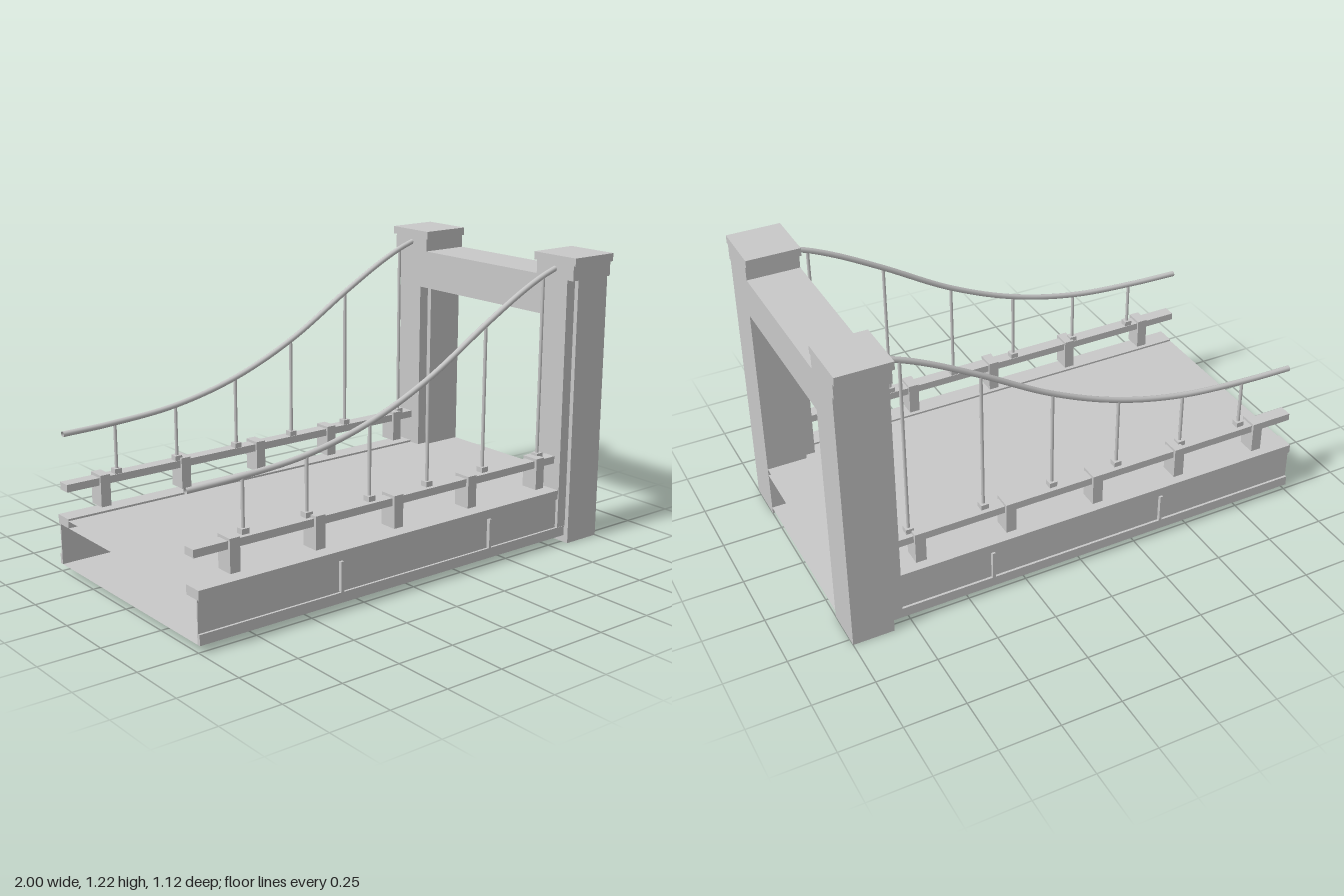
import * as THREE from 'three';

const stone = new THREE.MeshStandardMaterial({ color: 0xc8c8c8, side: THREE.DoubleSide });
stone.name = 'light grey';

function add(parent, name, geometry) {
  const mesh = new THREE.Mesh(geometry, stone);
  mesh.name = name;
  parent.add(mesh);
  return mesh;
}

// Box given by its extents on each axis
function box(parent, name, [x0, x1], [y0, y1], [z0, z1]) {
  const mesh = add(parent, name, new THREE.BoxGeometry(x1 - x0, y1 - y0, z1 - z0));
  mesh.position.set((x0 + x1) / 2, (y0 + y1) / 2, (z0 + z1) / 2);
  return mesh;
}

// Horizontal sheet, open at the bridge ends
function sheet(parent, name, y, halfWidth) {
  const mesh = add(parent, name, new THREE.PlaneGeometry(2, halfWidth * 2).rotateX(-Math.PI / 2));
  mesh.position.y = y;
}

const cableCurve = new THREE.CatmullRomCurve3([
  [-1, 0.585], [-0.8, 0.59], [-0.48, 0.616], [-0.18, 0.688], [0.11, 0.81],
  [0.405, 0.983], [0.6, 1.09], [0.715, 1.142], [0.81, 1.174],
].map(([x, y]) => new THREE.Vector3(x, y, 0.442)));

// Height of the cable at a given x
function cableHeight(x) {
  let lo = 0, hi = 1;
  for (let i = 0; i < 25; i++) {
    const mid = (lo + hi) / 2;
    if (cableCurve.getPoint(mid).x < x) lo = mid; else hi = mid;
  }
  return cableCurve.getPoint(lo).y;
}

// Everything on one side of the bridge (+z); the other side is its mirror
function buildSide(name) {
  const side = new THREE.Group();
  side.name = name;

  // Girder: curb, recessed web, lower flange and stiffeners
  box(side, 'curb', [-1, 0.998], [0.2, 0.238], [0.43, 0.51]);
  box(side, 'girderWeb', [-1, 0.998], [0.07, 0.2], [0.494, 0.5]);
  box(side, 'lowerFlange', [-1, 0.998], [0.03, 0.072], [0.494, 0.51]);
  for (const x of [-0.365, 0.395]) {
    box(side, 'stiffener', [x - 0.006, x + 0.006], [0.075, 0.197], [0.5, 0.516]);
  }

  // Railing with short posts
  box(side, 'rail', [-1, 0.998], [0.35, 0.381], [0.427, 0.482]);
  for (const x of [-0.833, -0.453, -0.075, 0.308, 0.69]) {
    box(side, 'railPost', [x - 0.022, x + 0.022], [0.26, 0.392], [0.418, 0.494]);
  }

  // Main cable and hangers
  add(side, 'mainCable', new THREE.TubeGeometry(cableCurve, 48, 0.012, 8));
  for (const x of [-0.765, -0.48, -0.183, 0.108, 0.405, 0.717]) {
    const top = cableHeight(x);
    const hanger = add(side, 'hanger', new THREE.CylinderGeometry(0.007, 0.007, top - 0.385, 8));
    hanger.position.set(x, (top + 0.385) / 2, 0.446);
    box(side, 'hangerFoot', [x - 0.016, x + 0.016], [0.378, 0.402], [0.43, 0.463]);
  }

  // Tower leg with pilaster and stepped cap
  box(side, 'towerLeg', [0.83, 1], [0, 1.13], [0.356, 0.533]);
  box(side, 'pilaster', [0.785, 0.84], [0.075, 1.13], [0.378, 0.514]);
  box(side, 'capLower', [0.785, 1], [1.128, 1.192], [0.342, 0.546]);
  box(side, 'capUpper', [0.78, 1], [1.19, 1.223], [0.33, 0.56]);
  return side;
}

export function createModel() {
  const bridge = new THREE.Group();
  bridge.name = 'bridgeSection';

  // Hollow deck: roadway slab above an open box
  sheet(bridge, 'roadway', 0.23, 0.44);
  sheet(bridge, 'roadwayUnderside', 0.2, 0.44);
  sheet(bridge, 'deckUnderside', 0.03, 0.51);

  // Cross beam between the tower legs, as deep as the pilasters
  box(bridge, 'crossBeam', [0.785, 1], [0.97, 1.134], [-0.38, 0.38]);

  const left = buildSide('frontSide');
  const right = buildSide('backSide');
  right.scale.z = -1;
  bridge.add(left, right);
  return bridge;
}
